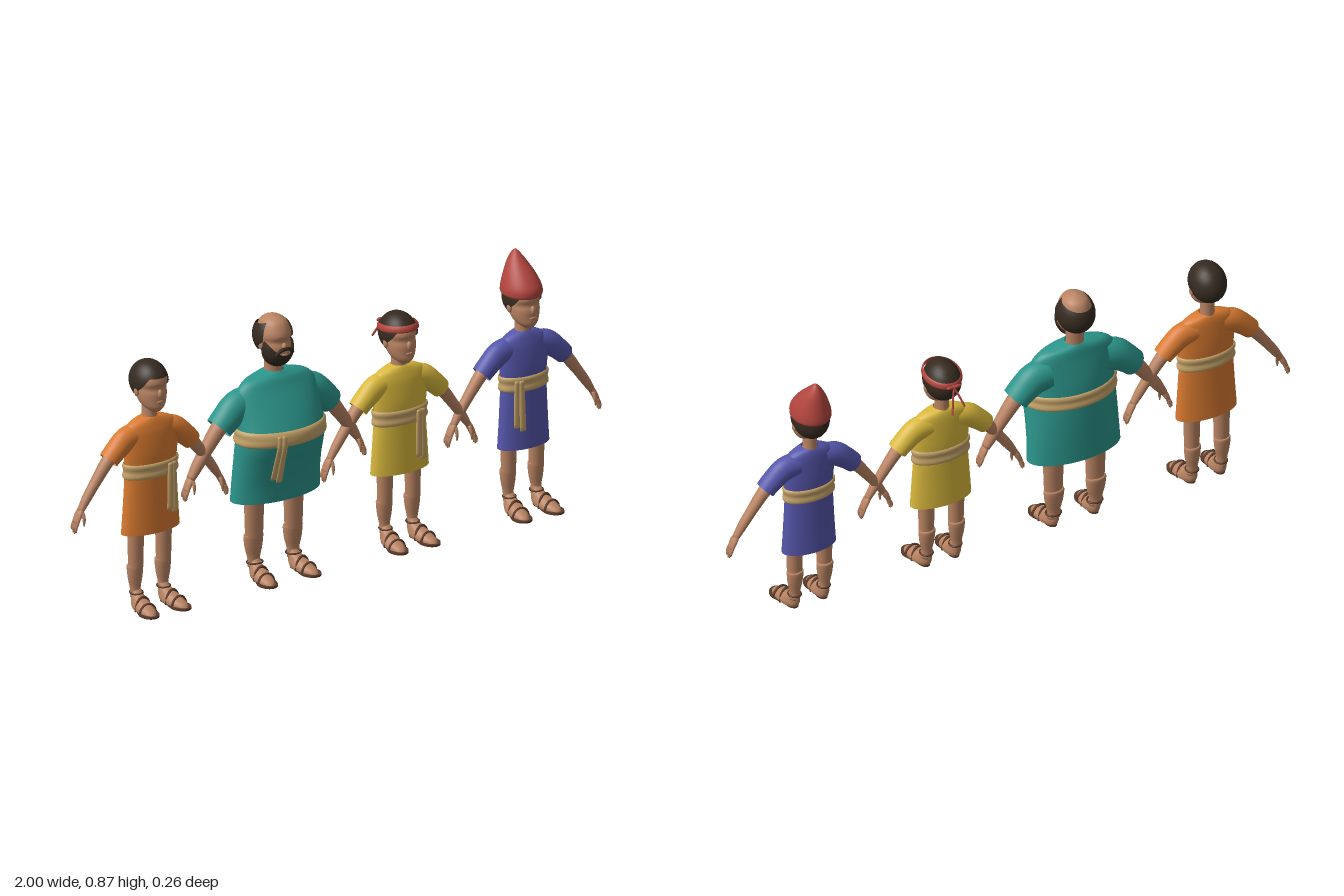
import * as THREE from 'three';

const mat = (name, color, side = THREE.DoubleSide) => {
  const m = new THREE.MeshStandardMaterial({ color, side });
  m.name = name;
  return m;
};
const M = {
  skin: mat('skin', 0xb98362), hair: mat('dark hair', 0x352a20), sandal: mat('sandal leather', 0x5a3b2a),
  belt: mat('belt cloth', 0xc4a268), orange: mat('orange cloth', 0xd97a30), teal: mat('teal cloth', 0x2b958b),
  yellow: mat('yellow cloth', 0xd9b83c), blue: mat('blue cloth', 0x5556ab), red: mat('red cloth', 0xb2453d),
};

function add(group, name, geometry, material) {
  const mesh = new THREE.Mesh(geometry, material);
  mesh.name = name;
  group.add(mesh);
  return mesh;
}

// Horizontal section: height, half width, front z, back z, x centre
const sec = (y, w, zF, zB, x = 0) => [x, y, (zF + zB) / 2, w, (zF - zB) / 2];

// Smooth skin over elliptical sections [x, y, z, halfWidth, halfDepth]
function sweep(rows, capped = true, segs = 28, sub = 4) {
  const cr = (a, b, c, d, t) => 0.5 * (2 * b + (c - a) * t + (2 * a - 5 * b + 4 * c - d) * t * t + (3 * b - a - 3 * c + d) * t ** 3);
  const fine = [], last = rows.length - 1;
  for (let i = 0; i < last; i++) for (let s = 0; s < sub; s++) {
    const [a, b, c, d] = [rows[Math.max(i - 1, 0)], rows[i], rows[i + 1], rows[Math.min(i + 2, last)]];
    fine.push(b.map((v, k) => cr(a[k], v, c[k], d[k], s / sub)));
  }
  fine.push(rows[last]);
  const pos = [], idx = [], n = fine.length;
  fine.forEach((r, i) => {
    const p = fine[Math.max(i - 1, 0)], q = fine[Math.min(i + 1, n - 1)];
    const tx = q[0] - p[0], ty = q[1] - p[1], l = Math.hypot(tx, ty) || 1;
    for (let j = 0; j < segs; j++) {
      const a = j / segs * Math.PI * 2, u = Math.max(r[3], 0.0005) * Math.cos(a);
      pos.push(r[0] + ty / l * u, r[1] - tx / l * u, r[2] + Math.max(r[4], 0.0005) * Math.sin(a));
      if (i < n - 1) {
        const A = i * segs + j, B = i * segs + (j + 1) % segs;
        idx.push(A, A + segs, B, B, A + segs, B + segs);
      }
    }
  });
  if (capped) {
    const c = n * segs, e = (n - 1) * segs;
    pos.push(...fine[0].slice(0, 3), ...fine[n - 1].slice(0, 3));
    for (let j = 0; j < segs; j++) {
      const k = (j + 1) % segs;
      idx.push(c, j, k, c + 1, e + k, e + j);
    }
  }
  return build(pos, idx);
}

function build(pos, idx) {
  const g = new THREE.BufferGeometry();
  g.setAttribute('position', new THREE.Float32BufferAttribute(pos, 3));
  g.setIndex(idx);
  g.computeVertexNormals();
  return g;
}

// Part of an ellipsoid between two edges given as functions of angle (degrees, 90 = front)
function shell([cx, cy, cz], [rx, ry, rz], t0, t1, top, bottom, nt = 48, np = 12) {
  const pos = [], idx = [], rad = Math.PI / 180;
  for (let i = 0; i <= nt; i++) for (let j = 0; j <= np; j++) {
    const deg = t0 + (t1 - t0) * i / nt, t = deg * rad;
    const p = THREE.MathUtils.lerp(top(Math.sin(t), deg), bottom(Math.sin(t), deg), j / np) * rad;
    pos.push(cx + rx * Math.sin(p) * Math.cos(t), cy + ry * Math.cos(p), cz + rz * Math.sin(p) * Math.sin(t));
    if (i < nt && j < np) {
      const a = i * (np + 1) + j, b = a + np + 1;
      idx.push(a, b, a + 1, b, b + 1, a + 1);
    }
  }
  return build(pos, idx);
}

const ball = (x, y, z, rx, ry, rz) => new THREE.SphereGeometry(1, 16, 12).scale(rx, ry, rz).translate(x, y, z);

// Interpolated tunic section at a height (rows run from top to bottom)
function sectionAt(rows, y) {
  const i = Math.max(1, rows.findIndex(r => r[1] <= y));
  const a = rows[i - 1], b = rows[i], t = (y - a[1]) / (b[1] - a[1]);
  return a.map((v, k) => v + (b[k] - v) * t);
}

function makeHead(g, c) {
  add(g, 'head', sweep([sec(c, 0.016, 0.034, 0.004), sec(c + 0.015, 0.034, 0.044, -0.03), sec(c + 0.035, 0.045, 0.044, -0.048),
    sec(c + 0.06, 0.05, 0.044, -0.062), sec(c + 0.078, 0.051, 0.039, -0.072), sec(c + 0.1, 0.053, 0.045, -0.078),
    sec(c + 0.135, 0.041, 0.03, -0.066), sec(c + 0.15, 0.022, 0.008, -0.045), sec(c + 0.156, 0.004, -0.014, -0.024)]), M.skin);
  add(g, 'nose', ball(0, c + 0.062, 0.043, 0.008, 0.015, 0.009), M.skin);
  add(g, 'lips', ball(0, c + 0.035, 0.043, 0.013, 0.005, 0.004), M.skin);
  for (const s of [-1, 1]) add(g, 'ear', ball(s * 0.052, c + 0.065, -0.012, 0.007, 0.016, 0.011), M.skin);
}

function makeHair(g, c) {
  add(g, 'hair', shell([0, c + 0.09, -0.02], [0.059, 0.068, 0.072], 0, 360, () => 0,
    f => f > 0 ? 112 - 44 * Math.min(1, f * 1.25) ** 2 : 112 + 34 * Math.sqrt(-f)), M.hair);
}

function makeArm(g, s, { S, dx = 0, dy = 0, k = 1 }, cloth) {
  const P = (x, y, z, w, d) => [s * (x + dx), S + dy + y, z, w, d];
  add(g, 'sleeve', sweep([P(0.045, -0.05, -0.016, 0.04 * k, 0.034 * k), P(0.09, -0.058, -0.015, 0.04 * k, 0.034 * k),
    P(0.13, -0.088, -0.014, 0.035 * k, 0.034 * k), P(0.157, -0.114, -0.014, 0.032 * k, 0.033 * k)], false), cloth);
  const a = 1 + (k - 1) * 0.7;
  add(g, 'arm', sweep([P(0.1, -0.06, -0.015, 0.022 * a, 0.024 * a), P(0.158, -0.115, -0.015, 0.021 * a, 0.022 * a),
    P(0.208, -0.18, -0.015, 0.017 * a, 0.018 * a), P(0.24, -0.225, -0.015, 0.015 * a, 0.016 * a),
    P(0.264, -0.262, -0.015, 0.01 * a, 0.013 * a)], true, 20), M.skin);
  add(g, 'palm', sweep([P(0.258, -0.252, -0.015, 0.009, 0.012), P(0.27, -0.272, -0.015, 0.01, 0.017),
    P(0.282, -0.297, -0.015, 0.007, 0.016)], true, 16), M.skin);
  for (let f = 0; f < 4; f++) {
    const z = -0.003 - f * 0.008, tip = [0.0, 0.005, 0.003, -0.006][f];
    add(g, 'finger', sweep([P(0.279, -0.292, z, 0.005, 0.0045), P(0.287, -0.31, z, 0.005, 0.0042),
      P(0.288, -0.326 - tip, z, 0.002, 0.002)], true, 8), M.skin);
  }
  add(g, 'thumb', sweep([P(0.262, -0.264, -0.004, 0.006, 0.006), P(0.263, -0.285, 0.005, 0.006, 0.005),
    P(0.264, -0.307, 0.006, 0.002, 0.002)], true, 8), M.skin);
}

function makeLeg(g, s, x, top, k) {
  const V = (y, w, zF, zB) => sec(y, w * k, zF, zB, s * x);
  add(g, 'thigh', sweep([V(top, 0.03, 0.01, -0.04), V(0.2, 0.027, 0.007, -0.037), V(0.135, 0.025, 0.006, -0.036)], false, 20), M.skin);
  add(g, 'calf', sweep([V(0.143, 0.024, 0.003, -0.037), V(0.138, 0.028, 0.004, -0.042), V(0.1, 0.025, 0.001, -0.038),
    V(0.065, 0.018, -0.002, -0.033), V(0.035, 0.017, 0.0, -0.032)], true, 20), M.skin);
  const foot = new THREE.Group();
  foot.name = 'foot';
  foot.position.x = s * x;
  foot.rotation.y = s * 0.1;
  g.add(foot);
  add(foot, 'bareFoot', sweep([sec(0.006, 0.028, 0.102, -0.024), sec(0.018, 0.028, 0.09, -0.03), sec(0.035, 0.022, 0.05, -0.033),
    sec(0.048, 0.018, 0.014, -0.033), sec(0.062, 0.016, -0.002, -0.031)], true, 24), M.skin);
  const sole = new THREE.Shape().moveTo(-0.018, 0.01);
  sole.bezierCurveTo(-0.022, 0.04, -0.036, 0.06, -0.03, -0.085 + 0.165).bezierCurveTo(-0.02, 0.118, 0.02, 0.118, 0.03, 0.08);
  sole.bezierCurveTo(0.036, 0.06, 0.022, 0.04, 0.018, 0.01).bezierCurveTo(0.02, -0.035, -0.02, -0.035, -0.018, 0.01);
  add(foot, 'sole', new THREE.ExtrudeGeometry(sole, { depth: 0.007, bevelEnabled: false }).rotateX(Math.PI / 2).translate(0, 0.007, 0), M.sandal);
  for (const [z, w, h] of [[0.062, 0.029, 0.033], [0.03, 0.027, 0.045]])
    add(foot, 'strap', new THREE.TorusGeometry(1, 0.1, 6, 20, Math.PI).scale(w, h, 0.045).translate(0, 0.003, z), M.sandal);
  add(foot, 'ankleStrap', new THREE.TorusGeometry(1, 0.14, 8, 24).rotateX(Math.PI / 2).scale(0.02 * k, 0.024, 0.022).translate(0, 0.05, -0.013), M.sandal);
}

// Whole figure without its headgear
function makePerson(name, x, cloth, o) {
  const g = new THREE.Group();
  g.name = name;
  g.position.x = x;
  const { S, H, B, c, w = 1, k = 1 } = o;
  const tunic = o.tunic || [sec(S + 0.006, 0.026, 0.01, -0.04), sec(S - 0.003, 0.06 * w, 0.015, -0.045), sec(S - 0.02, 0.09 * w, 0.021, -0.049),
    sec(S - 0.05, 0.101 * w, 0.028, -0.052), sec(S - 0.11, 0.098 * w, 0.034, -0.055), sec(B, 0.094 * w, 0.033, -0.054),
    sec(H + 0.1, 0.1 * w, 0.034, -0.055), sec(H, 0.107 * w, 0.036, -0.058)];
  add(g, 'tunic', sweep(tunic, false, 40), cloth);
  // Doubled belt with a pinched middle
  add(g, 'belt', sweep([[-0.025, 0.002], [-0.021, 0.006], [-0.012, 0.007], [0, 0.004], [0.012, 0.007], [0.021, 0.006], [0.025, 0.002]].map(([dy, out]) => {
    const r = sectionAt(tunic, B + dy);
    return [0, B + dy, r[2], r[3] + out, r[4] + out];
  }), false, 40, 2), M.belt);
  for (const [dx, len] of [[-0.006, 0.14], [0.008, 0.152]]) {
    const rows = [0.015, -0.02, -len * 0.5, -len].map((dy, i) => {
      const r = sectionAt(tunic, B + dy), u = (o.tail + dx) / r[3];
      return [o.tail + dx + dx * i * 0.15, B + dy, r[2] + r[4] * Math.sqrt(1 - u * u) + 0.01, 0.009 + i * 0.001, 0.005];
    });
    add(g, 'beltTail', sweep(rows, true, 12), M.belt);
  }
  add(g, 'neck', sweep([sec(S - 0.02, 0.027 * k, 0.012, -0.045), sec(S + 0.01, 0.023 * k, 0.006, -0.042),
    sec(c + 0.045, 0.024 * k, 0.006, -0.042)], true, 20), M.skin);
  makeHead(g, c);
  for (const s of [-1, 1]) {
    makeArm(g, s, o, cloth);
    makeLeg(g, s, o.legX || 0.053, H + 0.06, k > 1 ? 1.25 : 1);
  }
  return g;
}

export function createModel() {
  const model = new THREE.Group();
  model.name = 'fourFigures';

  const first = makePerson('orangeFigure', -0.706, M.orange, { S: 0.633, H: 0.255, B: 0.467, c: 0.664, tail: 0.05 });
  makeHair(first, 0.664);

  // Stout bald figure with a beard
  const c = 0.714;
  const stout = makePerson('tealFigure', -0.233, M.teal, {
    S: 0.68, H: 0.27, B: 0.497, c, k: 1.35, dx: 0.053, dy: -0.035, legX: 0.075, tail: -0.06,
    tunic: [sec(0.688, 0.03, 0.018, -0.045), sec(0.68, 0.07, 0.025, -0.05), sec(0.667, 0.115, 0.035, -0.054), sec(0.64, 0.143, 0.048, -0.058),
      sec(0.6, 0.15, 0.072, -0.066), sec(0.55, 0.151, 0.1, -0.075), sec(0.497, 0.155, 0.122, -0.08), sec(0.45, 0.157, 0.112, -0.082),
      sec(0.4, 0.158, 0.093, -0.083), sec(0.33, 0.16, 0.074, -0.084), sec(0.27, 0.163, 0.067, -0.085)],
  });
  add(stout, 'sideHair', shell([0, c + 0.085, -0.02], [0.062, 0.07, 0.073], 157, 383,
    f => f > 0 ? 48 - f * 20 : 48 + 12 * -f, f => f > 0 ? 112 - f * 50 : 112 + 32 * Math.sqrt(-f)), M.hair);
  add(stout, 'beard', shell([0, c + 0.05, 0.003], [0.054, 0.062, 0.053], -12, 192,
    f => 62 + 40 * Math.max(0, f) ** 2, () => 178), M.hair);
  const lip = new THREE.CatmullRomCurve3([[-0.032, 0.04, 0.043], [-0.016, 0.056, 0.05], [0, 0.059, 0.052], [0.016, 0.056, 0.05], [0.032, 0.04, 0.043]]
    .map(([x, y, z]) => new THREE.Vector3(x, c + y, z)));
  add(stout, 'moustache', new THREE.TubeGeometry(lip, 20, 0.006, 8), M.hair);

  // Figure with a tied headband
  const third = makePerson('yellowFigure', 0.243, M.yellow, { S: 0.59, H: 0.24, B: 0.43, c: 0.61, tail: 0.047 });
  makeHair(third, 0.61);
  const band = add(third, 'headband', sweep([[-0.011, 0.001], [-0.006, 0.004], [0.006, 0.002], [0.011, -0.003]]
    .map(([y, o]) => [0, y, 0, 0.058 + o, 0.071 + o]), false, 36, 2), M.red);
  band.position.set(0, 0.724, -0.02);
  band.rotation.x = -0.12;
  add(third, 'knot', ball(0, 0.715, -0.098, 0.009, 0.008, 0.008), M.red);
  for (const s of [-1, 1]) {
    add(third, 'bow', ball(s * 0.013, 0.718, -0.1, 0.013, 0.006, 0.005), M.red);
    const path = new THREE.CatmullRomCurve3([[0, 0.715, -0.1], [s * 0.01, 0.69, -0.112], [s * 0.022, 0.645 - s * 0.01, -0.13]]
      .map(p => new THREE.Vector3(...p)));
    add(third, 'ribbon', new THREE.TubeGeometry(path, 12, 0.0035, 6), M.red);
  }

  // Figure with a pointed cap
  const fourth = makePerson('blueFigure', 0.714, M.blue, { S: 0.598, H: 0.217, B: 0.437, c: 0.622, w: 0.88, tail: -0.047 });
  makeHair(fourth, 0.622);
  add(fourth, 'pointedCap', sweep([sec(0.724, 0.06, 0.049, -0.092), sec(0.732, 0.064, 0.053, -0.096), sec(0.755, 0.061, 0.05, -0.095),
    sec(0.79, 0.048, 0.024, -0.089), sec(0.825, 0.03, -0.012, -0.081), sec(0.85, 0.013, -0.038, -0.069),
    sec(0.861, 0.002, -0.052, -0.057)]), M.red);

  model.add(first, stout, third, fourth);
  return model;
}
